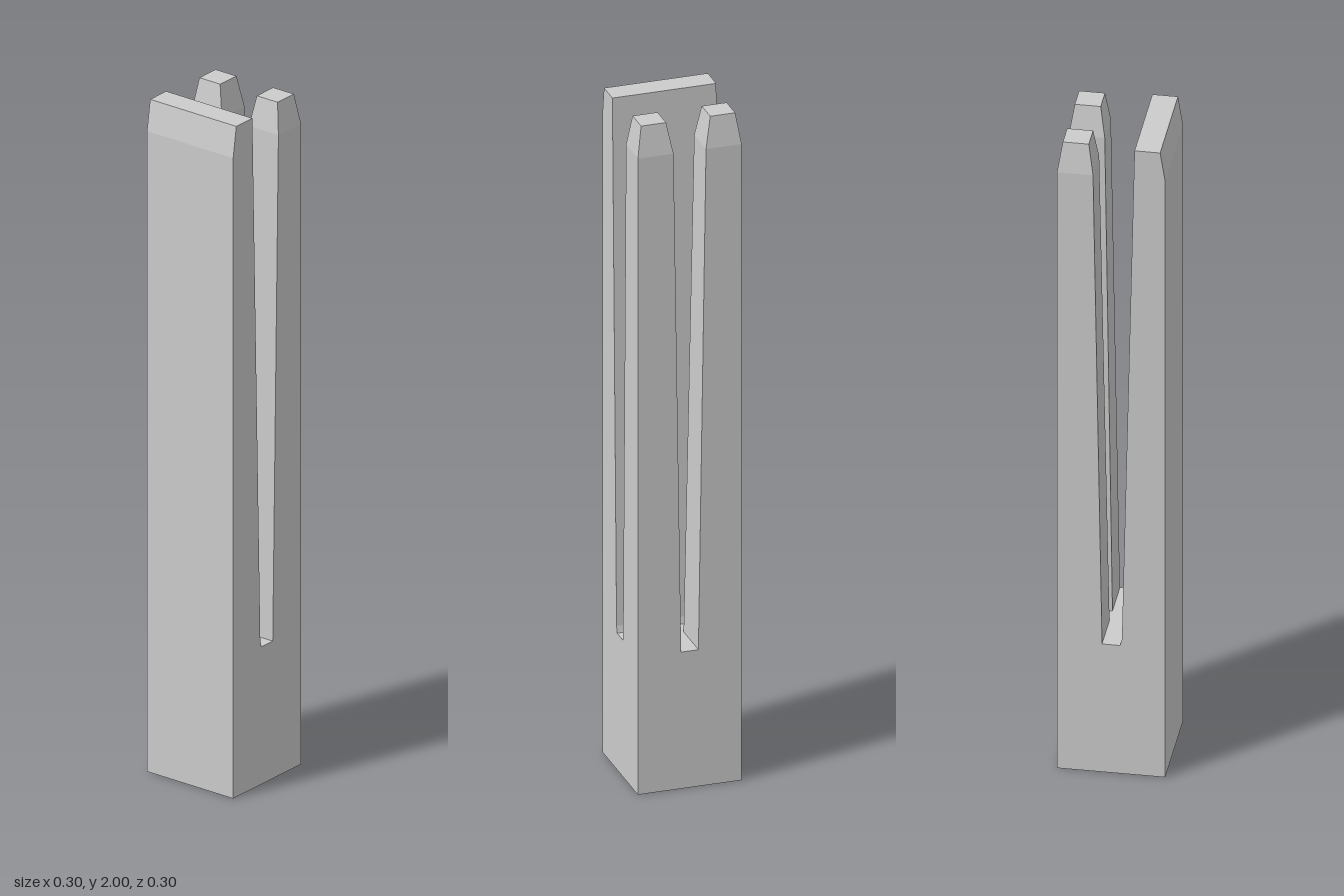
import * as THREE from 'three';

const material = new THREE.MeshStandardMaterial({ color: 0xcccccc, flatShading: true });

// Stacks rectangular sections [y, x0, x1, z0, z1] into a solid with a closed top
function loft(sections) {
  const pos = [];
  const quad = (a, b, c, d) => pos.push(...a, ...b, ...c, ...a, ...c, ...d);
  const rings = sections.map(([y, x0, x1, z0, z1]) =>
    [[x0, y, z0], [x0, y, z1], [x1, y, z1], [x1, y, z0]]);
  for (let s = 0; s < rings.length - 1; s++) {
    for (let i = 0; i < 4; i++) {
      const j = (i + 1) % 4;
      quad(rings[s][i], rings[s][j], rings[s + 1][j], rings[s + 1][i]);
    }
  }
  quad(...rings[rings.length - 1]);
  const geo = new THREE.BufferGeometry();
  geo.setAttribute('position', new THREE.Float32BufferAttribute(pos, 3));
  geo.computeVertexNormals();
  return geo;
}

export function createModel() {
  const group = new THREE.Group();

  // Square base and the full-depth slab rising from it, as one profile
  const profile = new THREE.Shape([
    [-0.15, 0], [0.15, 0], [0.15, 0.41], [-0.025, 0.41], [-0.03, 0.43],
    [-0.065, 2], [-0.136, 2], [-0.15, 1.91],
  ].map(([x, y]) => new THREE.Vector2(x, y)));
  const bodyGeo = new THREE.ExtrudeGeometry(profile, { depth: 0.3, bevelEnabled: false });
  bodyGeo.translate(0, 0, -0.15);
  const body = new THREE.Mesh(bodyGeo, material);
  body.name = 'baseAndSlab';
  group.add(body);

  // Two tapering prongs with chamfered tips: [y, inner x, outer x, inner z, outer z]
  const sections = [
    [0.41, 0.025, 0.15, 0.025, 0.15],
    [1.91, 0.05, 0.15, 0.047, 0.15],
    [2, 0.064, 0.136, 0.064, 0.136],
  ];
  for (const side of [1, -1]) {
    const placed = sections.map(([y, x0, x1, zi, zo]) =>
      side > 0 ? [y, x0, x1, zi, zo] : [y, x0, x1, -zo, -zi]);
    const prong = new THREE.Mesh(loft(placed), material);
    prong.name = side > 0 ? 'frontProng' : 'backProng';
    group.add(prong);
  }
  return group;
}
